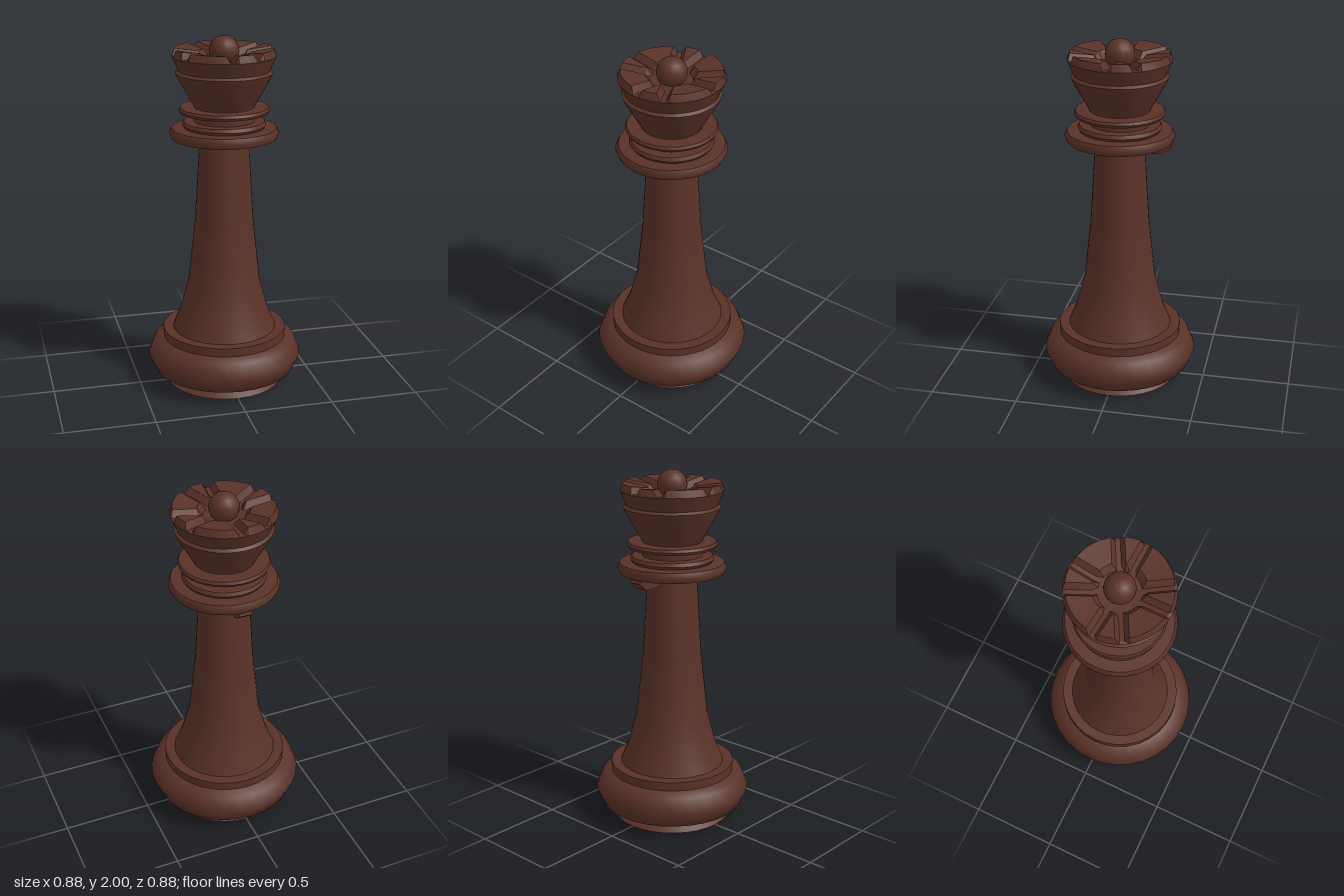
import * as THREE from 'three';
import { toCreasedNormals } from 'three/addons/utils/BufferGeometryUtils.js';

const wood = new THREE.MeshStandardMaterial({ color: 0x5a3228 });
wood.name = 'dark wood';

function part(name, geometry, crease = 0.96) {
  const mesh = new THREE.Mesh(toCreasedNormals(geometry, crease), wood);
  mesh.name = name;
  return mesh;
}

// Turned part from [radius, height] pairs, bottom to top
function turned(name, profile) {
  const points = profile.map(([r, y]) => new THREE.Vector2(r, y));
  return part(name, new THREE.LatheGeometry(points, 32));
}

// Dished crown top with radial notches of constant width cut through the rim
function crownTop() {
  const rows = [ // radius, height, notch depth
    [0.285, 1.89, 0], [0.27, 1.93, 0.036], [0.14, 1.91, 0.036], [0.112, 1.868, 0], [0.001, 1.862, 0],
  ];
  const deg = Math.PI / 180;
  const notches = [];
  for (let k = 0; k < 4; k++) notches.push((-4 + 90 * k) * deg, (28 + 90 * k) * deg);
  const fill = 5; // steps across each merlon
  const positions = [], index = [];
  let count = 0;
  rows.forEach(([r, y, depth]) => {
    const top = Math.asin(Math.min(0.035 / r, 0.25));
    const floor = top * 0.35;
    count = 0;
    const add = (a, h) => {
      positions.push(r * Math.cos(a), h, -r * Math.sin(a));
      count++;
    };
    notches.forEach((a, i) => {
      const next = i < 7 ? notches[i + 1] : notches[0] + Math.PI * 2;
      add(a - floor, y - depth);
      add(a + floor, y - depth);
      for (let s = 0; s <= fill; s++) {
        add(THREE.MathUtils.lerp(a + top, next - top, s / fill), y);
      }
    });
  });
  for (let j = 0; j < rows.length - 1; j++) {
    for (let i = 0; i < count; i++) {
      const n = (i + 1) % count;
      const a = j * count + i, b = j * count + n;
      const c = a + count, d = b + count;
      index.push(a, b, c, b, d, c);
    }
  }
  const g = new THREE.BufferGeometry();
  g.setAttribute('position', new THREE.Float32BufferAttribute(positions, 3));
  g.setIndex(index);
  return part('crownTop', g, 0.35);
}

// Small bracket under the collar at the back
function bracket() {
  const s = new THREE.Shape();
  s.moveTo(0.1, 1.38);
  s.lineTo(0.24, 1.376);
  s.lineTo(0.295, 1.42);
  s.lineTo(0.285, 1.445);
  s.lineTo(0.1, 1.445);
  const g = new THREE.ExtrudeGeometry(s, { depth: 0.07, bevelEnabled: false });
  g.translate(0, 0, -0.035);
  g.rotateY(Math.PI / 2);
  return part('backBracket', g, 0.3);
}

export function createModel() {
  const group = new THREE.Group();
  group.name = 'chessPiece';

  group.add(turned('base', [
    [0, 0], [0.335, 0], [0.29, 0.04], [0.31, 0.046], [0.402, 0.075], [0.44, 0.16],
    [0.405, 0.245], [0.352, 0.268], [0.352, 0.317], [0.28, 0.317],
  ]));
  group.add(turned('shaft', [
    [0.296, 0.315], [0.25, 0.43], [0.203, 0.61], [0.165, 0.96], [0.136, 1.44],
  ]));
  group.add(turned('collar', [
    [0.12, 1.437], [0.292, 1.437], [0.305, 1.465], [0.29, 1.493], [0.222, 1.495],
    [0.232, 1.511], [0.222, 1.53], [0.15, 1.53],
  ]));
  group.add(turned('neck', [[0.167, 1.52], [0.167, 1.62]]));
  group.add(turned('neckRing', [
    [0.15, 1.578], [0.243, 1.578], [0.251, 1.593], [0.243, 1.608], [0.15, 1.608],
  ]));
  group.add(turned('crownCup', [
    [0.165, 1.607], [0.258, 1.775], [0.267, 1.797], [0.252, 1.81], [0.285, 1.89],
  ]));
  group.add(crownTop());
  group.add(bracket());

  // Ball on top
  const ball = part('finialBall', new THREE.SphereGeometry(0.083, 16, 12));
  ball.position.y = 1.917;
  group.add(ball);

  return group;
}
